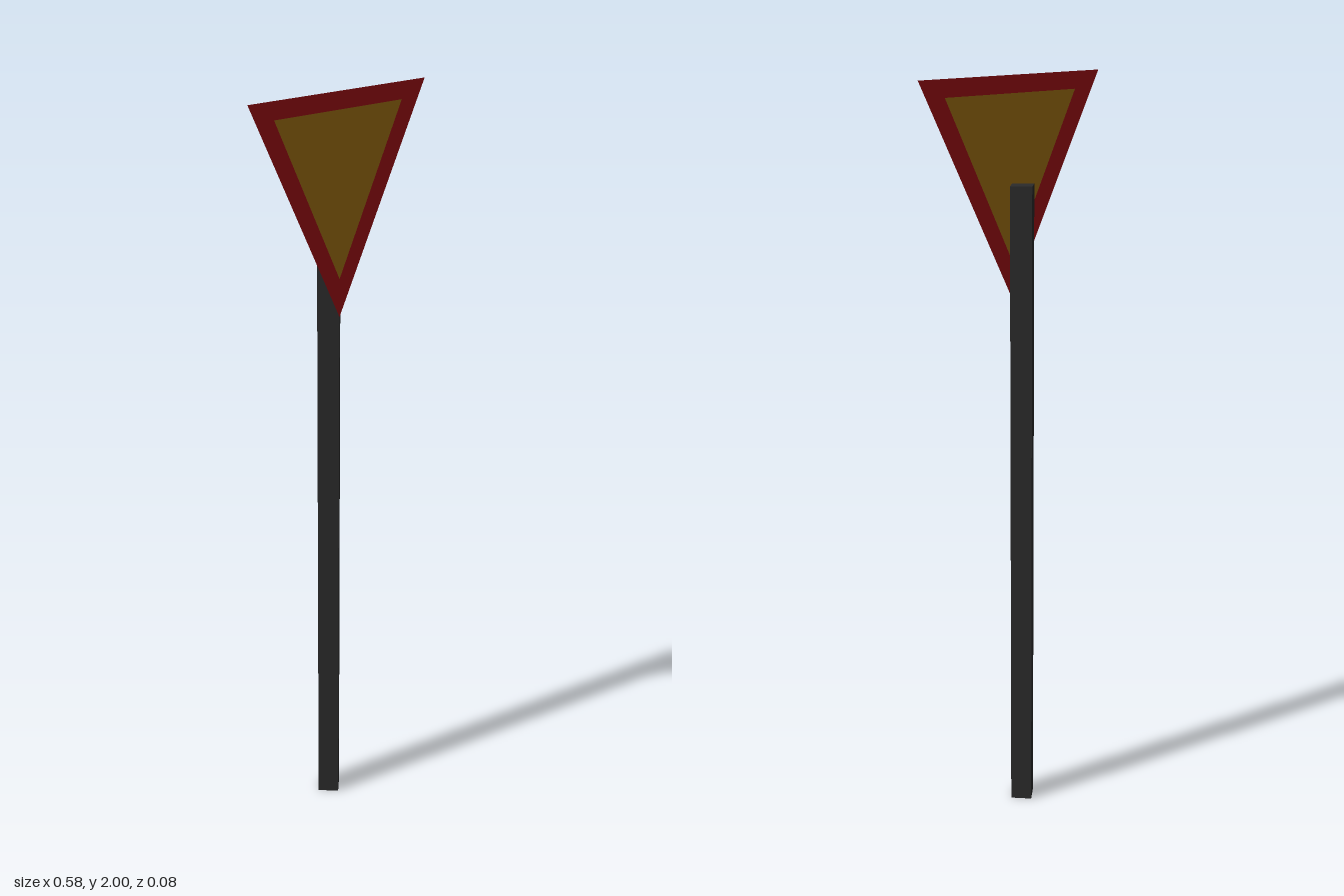
import * as THREE from 'three';

const triangle = (halfWidth, top, bottom) => [
  new THREE.Vector2(-halfWidth, top),
  new THREE.Vector2(0, bottom),
  new THREE.Vector2(halfWidth, top),
];

function part(name, geometry, color, options = {}) {
  const mesh = new THREE.Mesh(geometry, new THREE.MeshStandardMaterial({ color, ...options }));
  mesh.name = name;
  return mesh;
}

export function createModel() {
  const group = new THREE.Group();
  group.name = 'yieldSign';

  // Square post, turned so one corner faces the front
  const postHeight = 1.73, postRadius = 0.04;
  const post = part('post', new THREE.CylinderGeometry(postRadius, postRadius, postHeight, 4),
    0x2b2b2b, { flatShading: true });
  post.position.y = postHeight / 2;
  group.add(post);

  // Paper-thin sign touching the post's front corner
  const sign = new THREE.Group();
  sign.name = 'sign';
  sign.position.z = postRadius + 0.0005;
  const outer = triangle(0.29, 2, 1.43);
  const inner = triangle(0.21, 1.955, 1.53);
  const border = new THREE.Shape(outer);
  border.holes.push(new THREE.Path(inner));
  const thin = { side: THREE.DoubleSide };
  sign.add(
    part('signBorder', new THREE.ShapeGeometry(border), 0xa81016, thin),
    part('signPanel', new THREE.ShapeGeometry(new THREE.Shape(inner)), 0xa87614, thin),
  );
  group.add(sign);

  return group;
}
